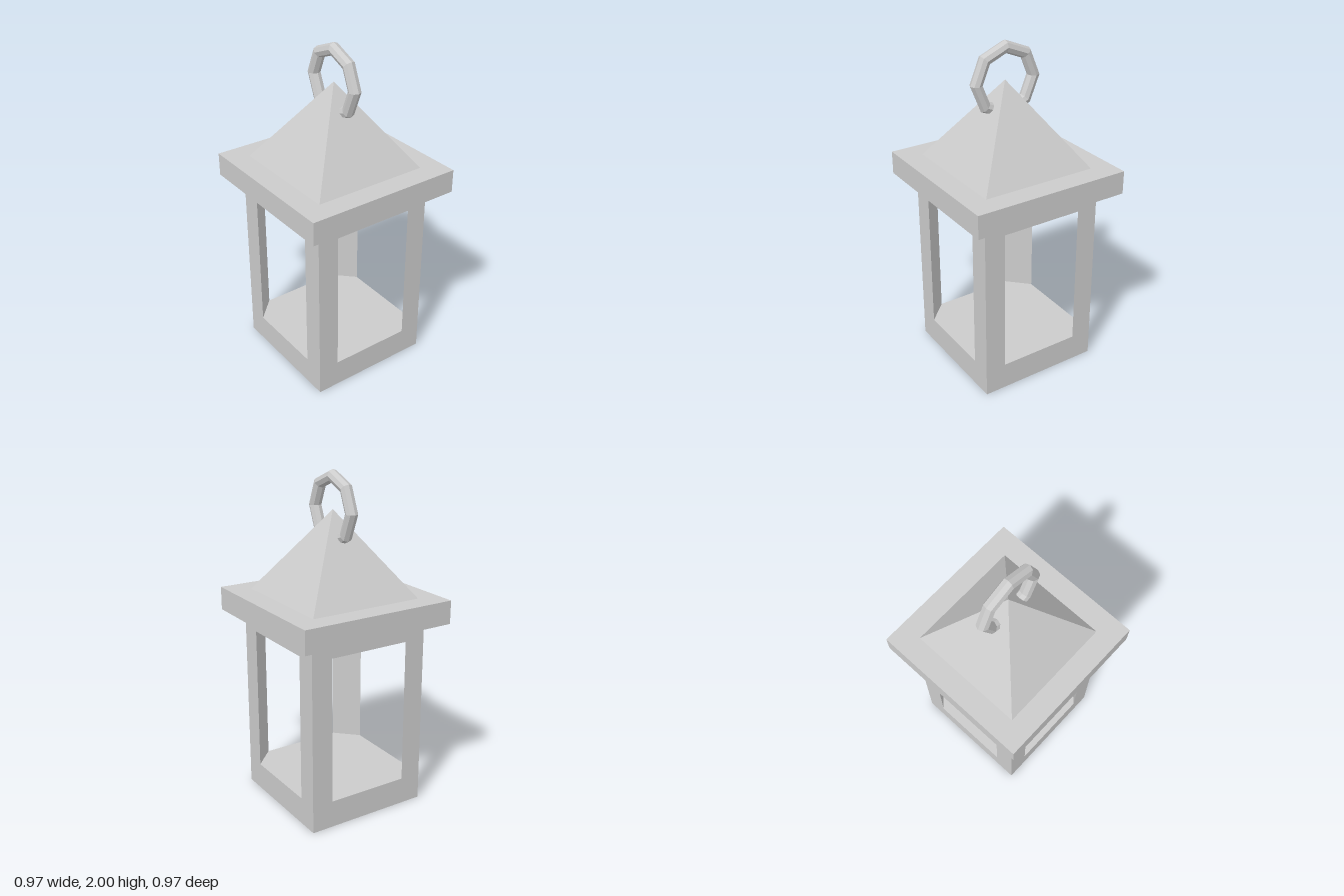
import * as THREE from 'three';

const HALF = 0.38;      // body half width
const OPENING = 0.25;   // window half width
const FLOOR_TOP = 0.165;
const CEILING = 1.045;
const EAVES = 1.14;
const ROOF_TOP = 1.28;
const APEX = 1.775;

export function createModel() {
  const lantern = new THREE.Group();
  lantern.name = 'lantern';
  const material = new THREE.MeshStandardMaterial({ color: 0xcccccc, flatShading: true });

  const add = (name, geometry, y = 0) => {
    const mesh = new THREE.Mesh(geometry, material);
    mesh.name = name;
    mesh.position.y = y;
    lantern.add(mesh);
    return mesh;
  };
  // Square slab between two heights
  const addSlab = (name, half, bottom, top) =>
    add(name, new THREE.BoxGeometry(half * 2, top - bottom, half * 2), (bottom + top) / 2);

  // Solid base, top frame and overhanging eaves
  addSlab('base', HALF, 0, FLOOR_TOP);
  addSlab('topFrame', HALF, CEILING, EAVES);
  addSlab('eaves', 0.485, EAVES, ROOF_TOP);

  // Corner posts: triangular prisms with a diagonal inner face
  const corner = new THREE.Shape([
    new THREE.Vector2(HALF, OPENING),
    new THREE.Vector2(HALF, HALF),
    new THREE.Vector2(OPENING, HALF),
  ]);
  const postGeometry = new THREE.ExtrudeGeometry(corner, { depth: CEILING - FLOOR_TOP, bevelEnabled: false });
  postGeometry.rotateX(-Math.PI / 2);
  for (let i = 0; i < 4; i++) {
    add('cornerPost', postGeometry, FLOOR_TOP).rotation.y = i * Math.PI / 2;
  }

  // Pyramid roof
  const roof = new THREE.ConeGeometry(0.352 * Math.SQRT2, APEX - ROOF_TOP, 4);
  roof.rotateY(Math.PI / 4);
  add('roof', roof, (ROOF_TOP + APEX) / 2);

  // Octagonal hanging ring passing through the roof peak
  add('hangingRing', new THREE.TorusGeometry(0.188, 0.037, 8, 8), APEX);

  return lantern;
}
